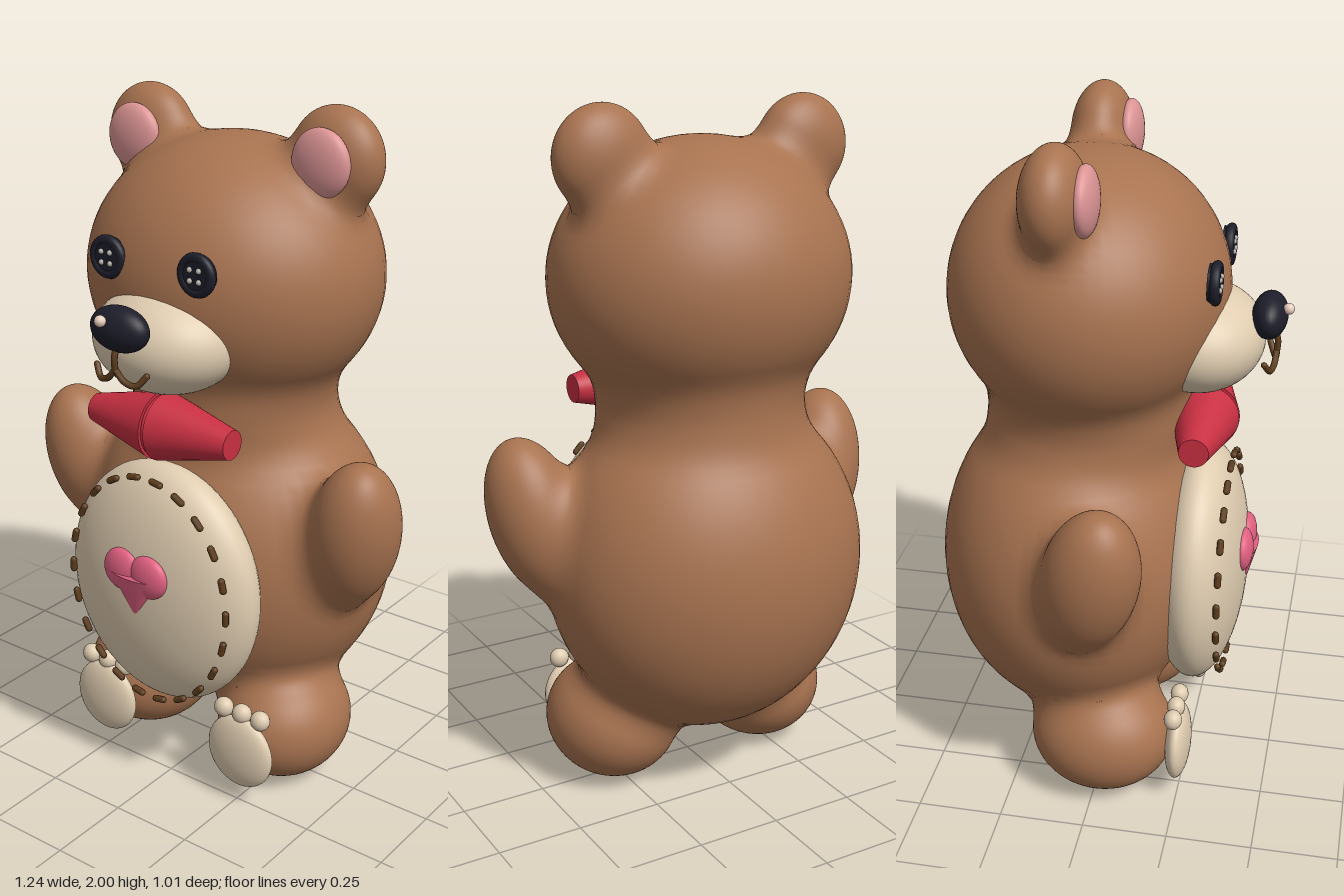
import * as THREE from 'three';

const V = (x, y, z) => new THREE.Vector3(x, y, z);
const mat = (name, color) => {
  const m = new THREE.MeshStandardMaterial({ color });
  m.name = name;
  return m;
};

// Fur volumes: centre, radii, rotation. They melt softly into each other.
const FUR = [
  { name: 'body', c: V(0, 0.68, -0.1), r: V(0.48, 0.51, 0.41) },
  { name: 'neck', c: V(0, 1.15, -0.07), r: V(0.3, 0.25, 0.295) },
  { name: 'head', c: V(0, 1.51, -0.07), r: V(0.44, 0.39, 0.395) },
];
for (const s of [1, -1]) {
  const side = s > 0 ? 'left' : 'right';
  FUR.push(
    { name: side + 'Ear', c: V(s * 0.317, 1.857, -0.095), r: V(0.14, 0.143, 0.09) },
    { name: side + 'Arm', c: V(s * 0.485, 0.85, 0.025), r: V(0.13, 0.235, 0.138), e: [0.2, 0, -s * 0.2] },
    { name: side + 'Foot', c: V(s * 0.255, 0.18, 0.015), r: V(0.195, 0.18, 0.215) },
  );
}
for (const b of FUR) {
  b.q = new THREE.Quaternion().setFromEuler(new THREE.Euler(...(b.e || [0, 0, 0])));
  b.inv = b.q.clone().invert();
}

// Approximate distance to one ellipsoid, and to the soft union of all
function blobDistance(b, p) {
  const l = p.clone().sub(b.c).applyQuaternion(b.inv).divide(b.r);
  const k0 = l.length();
  const k1 = l.divide(b.r).length();
  return (k0 * (k0 - 1)) / Math.max(k1, 1e-6);
}
function furDistance(p) {
  const k = 0.08;
  let d = 10;
  for (const b of FUR) {
    const e = blobDistance(b, p);
    const h = Math.max(k - Math.abs(d - e), 0) / k;
    d = Math.min(d, e) - (h * h * k) / 4;
  }
  return d;
}
function furNormal(p) {
  const e = 0.002;
  const slope = (x, y, z) => furDistance(p.clone().add(V(x, y, z))) - furDistance(p.clone().sub(V(x, y, z)));
  return V(slope(e, 0, 0), slope(0, e, 0), slope(0, 0, e)).normalize();
}

// Ellipsoid whose vertices near a join are moved onto the soft union
function furGeometry(b) {
  const g = new THREE.SphereGeometry(1, 56, 40);
  const pos = g.attributes.position;
  const nor = g.attributes.normal;
  for (let i = 0; i < pos.count; i++) {
    const p = new THREE.Vector3().fromBufferAttribute(pos, i).multiply(b.r).applyQuaternion(b.q).add(b.c);
    if (furDistance(p) > -0.06) {
      for (let n = 0; n < 3; n++) p.addScaledVector(furNormal(p), -furDistance(p));
    }
    const v = furNormal(p);
    pos.setXYZ(i, p.x, p.y, p.z);
    nor.setXYZ(i, v.x, v.y, v.z);
  }
  return g;
}

export function createModel() {
  const root = new THREE.Group();
  root.name = 'teddyBear';
  const fur = mat('brown fur', 0xa87350);
  const cream = mat('cream plush', 0xdfccb0);
  const pink = mat('ear pink', 0xdc9494);
  const rose = mat('heart rose', 0xdf6080);
  const red = mat('bow red', 0xc83042);
  const black = mat('button black', 0x1d1e2a);
  const thread = mat('dark thread', 0x5c3c1c);
  const shine = mat('pale shine', 0xf0d4c4);
  const grey = mat('eye thread', 0xb4aea8);

  const add = (name, geometry, material, x = 0, y = 0, z = 0, parent = root) => {
    const m = new THREE.Mesh(geometry, material);
    m.name = name;
    m.position.set(x, y, z);
    parent.add(m);
    return m;
  };
  const ball = (name, material, c, r, seg = 32) => {
    const m = add(name, new THREE.SphereGeometry(1, seg, Math.ceil(seg * 0.7)), material, ...c);
    m.scale.set(...r);
    return m;
  };

  for (const b of FUR) add(b.name, furGeometry(b), fur);

  // Belly patch with a ring of stitches
  ball('bellyPatch', cream, [0, 0.655, 0.265], [0.325, 0.37, 0.14], 56);
  const stitch = new THREE.CapsuleGeometry(0.01, 0.028, 4, 8);
  for (let i = 0; i < 22; i++) {
    const a = ((i + 0.5) / 22) * Math.PI * 2;
    const m = add('bellyStitch', stitch, thread, 0.28 * Math.sin(a), 0.655 + 0.347 * Math.cos(a), 0.348);
    m.rotation.z = Math.atan2(-0.28 * Math.cos(a), -0.347 * Math.sin(a));
  }

  // Heart: two lobes and a point
  for (const s of [1, -1]) ball('heartLobe', rose, [s * 0.046, 0.73, 0.395], [0.066, 0.064, 0.03]);
  const point = add('heartPoint', new THREE.ConeGeometry(0.088, 0.135, 32), rose, 0, 0.659, 0.4);
  point.rotation.x = Math.PI;
  point.scale.z = 0.4;

  // Muzzle, nose and mouth
  ball('muzzle', cream, [0, 1.385, 0.24], [0.217, 0.15, 0.187], 48);
  ball('nose', black, [0, 1.46, 0.435], [0.094, 0.063, 0.05]);
  ball('noseShine', shine, [-0.022, 1.49, 0.487], [0.016, 0.016, 0.016], 16);
  const tube = (name, pts) =>
    add(name, new THREE.TubeGeometry(new THREE.CatmullRomCurve3(pts), 20, 0.009, 8), thread);
  tube('mouthLine', [V(0, 1.42, 0.45), V(0, 1.385, 0.46), V(0, 1.35, 0.458)]);
  for (const s of [1, -1]) {
    tube('mouthCurl', [V(0, 1.355, 0.458), V(s * 0.028, 1.325, 0.455), V(s * 0.06, 1.317, 0.447), V(s * 0.086, 1.345, 0.432)]);
    ball('mouthEnd', thread, [s * 0.086, 1.345, 0.432], [0.009, 0.009, 0.009], 10);
  }

  // Bow tie, widest at the knot
  ball('bowKnot', red, [0, 1.135, 0.265], [0.03, 0.092, 0.092]);
  for (const s of [1, -1]) {
    const wing = add('bowWing', new THREE.CylinderGeometry(0.042, 0.098, 0.232, 32), red, s * 0.124, 1.135, 0.265);
    wing.rotation.z = -s * Math.PI / 2;
  }

  for (const s of [1, -1]) {
    ball('innerEar', pink, [s * 0.317, 1.858, -0.015], [0.09, 0.094, 0.038]);

    // Button eye with four thread dots
    const eye = new THREE.Group();
    eye.name = 'buttonEye';
    eye.position.set(s * 0.151, 1.6, 0.3);
    root.add(eye);
    add('buttonDisc', new THREE.CylinderGeometry(0.052, 0.052, 0.03, 32).rotateX(Math.PI / 2), black, 0, 0, -0.003, eye);
    add('buttonRim', new THREE.TorusGeometry(0.047, 0.014, 12, 32), black, 0, 0, 0.002, eye);
    for (const [dx, dy] of [[1, 1], [1, -1], [-1, 1], [-1, -1]]) {
      add('buttonThread', new THREE.SphereGeometry(0.008, 10, 8), grey, dx * 0.015, dy * 0.015, 0.013, eye);
    }

    // Paw pad and toes
    ball('footPad', cream, [s * 0.257, 0.165, 0.245], [0.112, 0.115, 0.038]);
    for (let t = -1; t <= 1; t++) {
      ball('toe', cream, [s * 0.257 + t * 0.065, 0.288, 0.237], [0.03, 0.03, 0.027], 16);
    }
  }
  return root;
}
